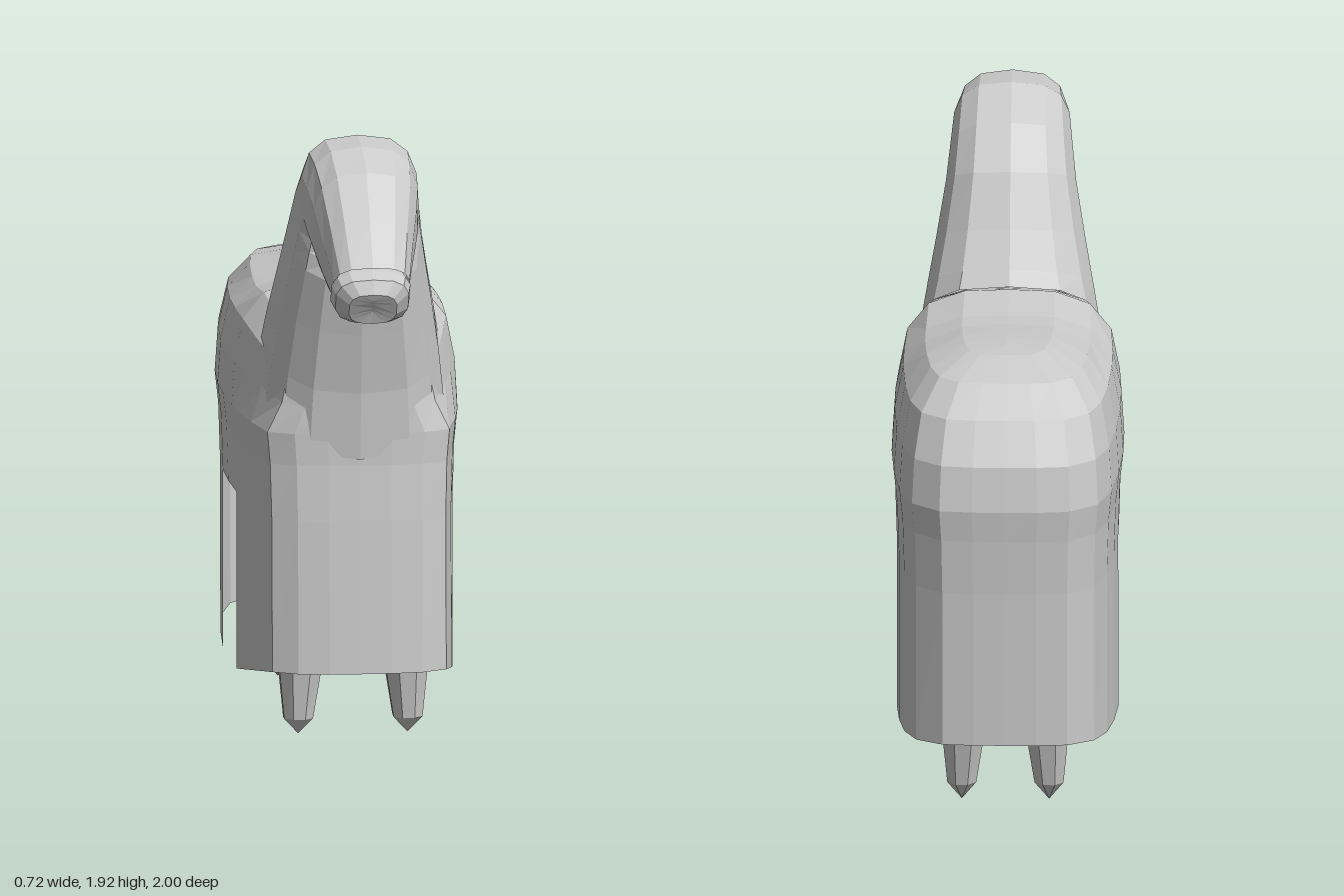
import * as THREE from 'three';

const cloth = new THREE.MeshStandardMaterial({ color: 0xcccccc, flatShading: true, side: THREE.DoubleSide });

// Skin a stack of closed rings, each an array of [x, y, z]; skip(r, c, ring) leaves out a quad.
function skin(name, rings, skip = () => false) {
  const n = rings[0].length, index = [];
  for (let r = 0; r < rings.length - 1; r++) {
    for (let c = 0; c < n; c++) {
      if (skip(r, c)) continue;
      const d = (c + 1) % n;
      const a = r * n + c, b = r * n + d, e = a + n, f = b + n;
      index.push(a, b, f, a, f, e);
    }
  }
  const geometry = new THREE.BufferGeometry();
  geometry.setAttribute('position', new THREE.Float32BufferAttribute(rings.flat(2), 3));
  geometry.setIndex(index);
  geometry.computeVertexNormals();
  const mesh = new THREE.Mesh(geometry, cloth);
  mesh.name = name;
  return mesh;
}

// Oval ring between two side-view points [z, y], with half width w.
function oval([z1, y1], [z2, y2], w, power = 0.7, sides = 14) {
  const bend = v => Math.sign(v) * Math.pow(Math.abs(v), power);
  return Array.from({ length: sides }, (_, i) => {
    const t = i / sides * Math.PI * 2;
    const k = (1 + bend(Math.cos(t))) / 2;
    return [w * bend(Math.sin(t)), y2 + (y1 - y2) * k, z2 + (z1 - z2) * k];
  });
}

// Cloth over the back, with front and rear skirts and an open gap at the flanks.
function drape() {
  const half = [[0, 0.55], [0.1, 0.548], [0.2, 0.535], [0.28, 0.49], [0.315, 0.3], [0.335, 0.14],
    [0.347, 0], [0.355, -0.2], [0.355, -0.39], [0.345, -0.6], [0.325, -0.78], [0.285, -0.91],
    [0.2, -0.985], [0.1, -0.998], [0, -1]];
  const plan = [...half, ...half.slice(1, -1).reverse().map(([x, z]) => [-x, z])];
  const hem = z => z > -0.2
    ? 0.17 + 0.08 * Math.min(1, Math.max(0, z) / 0.48)
    : 0.165 + 0.06 * Math.max(0, (-z - 0.39) / 0.6);
  // height, width scale, rearmost z, forward shift of the chest
  const levels = [[0, 0.965, -0.955, 0.02], [0.725, 0.965, -0.975, 0], [0.9, 0.98, -0.988, -0.01],
    [1.0, 1.01, -1, -0.01], [1.14, 0.985, -0.98, -0.01], [1.27, 0.91, -0.91, -0.02],
    [1.355, 0.72, -0.8, -0.03], [1.395, 0.4, -0.64, -0.04], [1.4, 0, -0.55, -0.05]];
  const rings = levels.map(([level, sx, rear, chest], r) => plan.map(([x, z]) => {
    const nz = z < -0.2 ? -0.2 + (z + 0.2) * (0.2 + rear) / -0.8 : z + chest * Math.max(0, z) / 0.5;
    const ahead = Math.max(0, z) / 0.5;
    let y = r === 0 ? hem(z) : level;
    if (r > 3) y -= 0.14 * ahead * (level - 1) / 0.4;
    if (r > 5) y -= 0.022 * Math.exp(-(((nz + 0.24) / 0.17) ** 2));
    const narrow = r > 3 ? 1 - 0.14 * ahead : 1;
    return [x * sx * narrow, y, nz];
  }));
  const inGap = c => {
    const z = (plan[c][1] + plan[(c + 1) % plan.length][1]) / 2;
    return z < 0 && z > -0.39;
  };
  return skin('drape', rings, (r, c) => r === 0 && inGap(c));
}

// Hooded neck and head, lofted from the chest to the nose opening.
function hood() {
  return skin('hood', [
    oval([0.545, 0.92], [0, 1.405], 0.28),
    oval([0.565, 1.13], [0.03, 1.45], 0.262),
    oval([0.6, 1.32], [0.095, 1.56], 0.235),
    oval([0.635, 1.49], [0.18, 1.72], 0.205),
    oval([0.62, 1.54], [0.3, 1.84], 0.192),
    oval([0.6, 1.57], [0.45, 1.925], 0.182),
    oval([0.625, 1.53], [0.6, 1.915], 0.175),
    oval([0.645, 1.5], [0.75, 1.86], 0.163),
    oval([0.72, 1.46], [0.87, 1.73], 0.14),
    oval([0.83, 1.45], [0.975, 1.6], 0.12),
  ]);
}

// Muzzle showing below the hood.
function muzzle() {
  return skin('muzzle', [
    oval([0.72, 1.47], [0.84, 1.61], 0.1),
    oval([0.83, 1.43], [0.94, 1.585], 0.125),
    oval([0.9, 1.415], [0.985, 1.565], 0.115),
    oval([0.945, 1.42], [1.0, 1.52], 0.075),
    oval([0.96, 1.46], [0.99, 1.5], 0.0),
  ]);
}

// Horse's barrel hidden under the cloth.
function belly() {
  const stations = [[-0.88, 0.95, 1.0, 0], [-0.83, 0.75, 1.2, 0.2], [-0.65, 0.66, 1.3, 0.27],
    [-0.39, 0.65, 1.3, 0.3], [-0.2, 0.66, 1.3, 0.3], [0, 0.68, 1.28, 0.29],
    [0.25, 0.7, 1.2, 0.26], [0.42, 0.78, 1.1, 0.2], [0.48, 0.95, 1.0, 0]];
  return skin('belly', stations.map(([z, low, high, w]) => oval([z, low], [z, high], w)));
}

// Tapering leg with a pointed hoof: rows of [y, half width, half depth, x, z].
function leg(name, side, rows) {
  return skin(name, rows.map(([y, w, d, x, z]) => Array.from({ length: 8 }, (_, i) => {
    const t = (i + 0.5) / 8 * Math.PI * 2;
    return [side * x + w * 1.08 * Math.sin(t), y, z + d * 1.08 * Math.cos(t)];
  })));
}

export function createModel() {
  const model = new THREE.Group();
  model.name = 'drapedHorse';
  model.add(drape(), hood(), muzzle(), belly());
  for (const [side, label] of [[1, 'left'], [-1, 'right']]) {
    model.add(leg(label + 'FrontLeg', side, [
      [0.015, 0, 0, 0.17, 0.285], [0.065, 0.045, 0.045, 0.17, 0.285],
      [0.22, 0.065, 0.07, 0.165, 0.285], [0.5, 0.07, 0.085, 0.16, 0.28], [0.85, 0.09, 0.12, 0.15, 0.26]]));
    model.add(leg(label + 'BackLeg', side, [
      [0, 0, 0, 0.135, -0.79], [0.06, 0.045, 0.05, 0.135, -0.79],
      [0.22, 0.065, 0.085, 0.13, -0.8], [0.5, 0.075, 0.1, 0.14, -0.77], [0.85, 0.1, 0.14, 0.15, -0.7]]));
  }
  return model;
}
